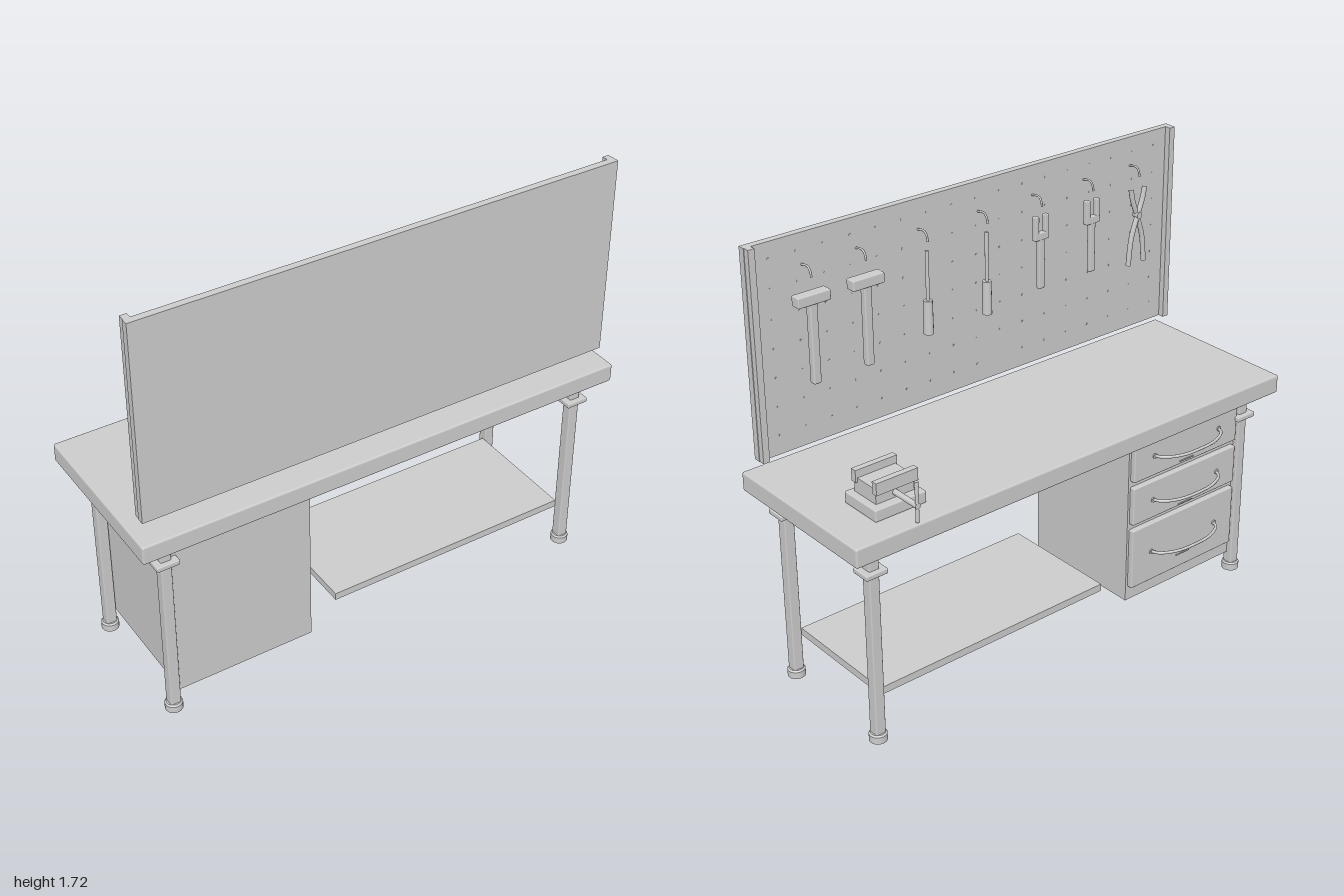
import * as THREE from 'three';
import { mergeGeometries } from 'three/addons/utils/BufferGeometryUtils.js';
import { RoundedBoxGeometry } from 'three/addons/geometries/RoundedBoxGeometry.js';

const grey = new THREE.MeshStandardMaterial({ color: 0xcccccc });

export function createModel() {
  const model = new THREE.Group();
  model.name = 'workbench';

  function add(name, geometry, x = 0, y = 0, z = 0, parent = model) {
    const mesh = new THREE.Mesh(geometry, grey);
    mesh.name = name;
    mesh.position.set(x, y, z);
    parent.add(mesh);
    return mesh;
  }
  // Box given by its limits on each axis, optionally with softened edges
  function box(name, [x0, x1], [y0, y1], [z0, z1], parent = model, bevel = 0) {
    const size = [x1 - x0, y1 - y0, z1 - z0];
    const geometry = bevel ? new RoundedBoxGeometry(...size, 2, bevel) : new THREE.BoxGeometry(...size);
    return add(name, geometry, (x0 + x1) / 2, (y0 + y1) / 2, (z0 + z1) / 2, parent);
  }
  function tube(name, points, radius, parent = model) {
    const curve = new THREE.CatmullRomCurve3(points.map(p => new THREE.Vector3(...p)));
    return add(name, new THREE.TubeGeometry(curve, 24, radius, 8), 0, 0, 0, parent);
  }
  function group(name, x = 0, y = 0, z = 0) {
    const g = new THREE.Group();
    g.name = name;
    g.position.set(x, y, z);
    model.add(g);
    return g;
  }

  // Table top, long rails and lower shelf
  box('tableTop', [-1, 1], [0.79, 0.865], [-0.338, 0.348], model, 0.008);
  box('rearRail', [-0.905, 0.905], [0.73, 0.79], [0.245, 0.27]);
  box('frontRail', [-0.905, 0.905], [0.73, 0.79], [-0.25, -0.235]);
  box('shelf', [-0.18, 0.86], [0.17, 0.2], [-0.24, 0.25]);

  // Legs with collars and feet
  for (const x of [-0.885, 0.885]) {
    for (const z of [-0.25, 0.262]) {
      const leg = group('leg', x, 0, z);
      box('post', [-0.021, 0.021], [0.02, 0.79], [-0.021, 0.021], leg, 0.005);
      box('collar', [-0.045, 0.045], [0.69, 0.71], [-0.04, 0.04], leg, 0.004);
      add('foot', new THREE.CylinderGeometry(0.034, 0.034, 0.028, 16), 0, 0.014, 0, leg);
      add('footShoulder', new THREE.CylinderGeometry(0.028, 0.034, 0.006, 16), 0, 0.031, 0, leg);
    }
  }

  // Drawer cabinet: front height limits and handle height for each drawer
  const cx = -0.58;
  box('cabinet', [-0.86, -0.3], [0.08, 0.77], [-0.25, 0.269]);
  for (const [y0, y1, hy] of [[0.14, 0.395, 0.27], [0.42, 0.58, 0.5], [0.605, 0.765, 0.69]]) {
    const drawer = group('drawer', cx, 0, 0);
    box('drawerFront', [-0.27, 0.27], [y0, y1], [-0.272, -0.245], drawer, 0.005);
    box('drawerLip', [-0.035, 0.035], [hy - 0.073, hy - 0.069], [-0.276, -0.27], drawer);
    tube('drawerHandle', [[-0.17, hy, -0.268], [-0.155, hy, -0.3], [-0.09, hy, -0.334], [0, hy, -0.343],
      [0.09, hy, -0.334], [0.155, hy, -0.3], [0.17, hy, -0.268]], 0.006, drawer);
    for (const s of [-1, 1]) {
      const mount = add('handleMount', new THREE.CylinderGeometry(0.01, 0.01, 0.006, 12), s * 0.17, hy, -0.274, drawer);
      mount.rotation.x = Math.PI / 2;
    }
  }

  // Pegboard with side strips and rows of peg holes
  box('pegboard', [-0.97, 0.97], [0.925, 1.72], [0.272, 0.3]);
  for (const s of [-1, 1]) {
    box('boardStrip', [s * 0.955 - 0.013, s * 0.955 + 0.013], [0.925, 1.72], [0.248, 0.272]);
  }
  const dots = [];
  for (let i = -8; i <= 8; i++) {
    for (let j = 0; j < 7; j++) {
      dots.push(new THREE.CylinderGeometry(0.004, 0.004, 0.002, 8)
        .rotateX(Math.PI / 2).translate(i * 0.11, 1.0 + j * 0.11, 0.2715));
    }
  }
  add('pegHoles', mergeGeometries(dots));

  // Hanging tools, each below its own hook
  function hungTool(name, x) {
    const tool = group(name, x, 0, 0.223);
    tube('hook', [[0, 1.605, 0.05], [0, 1.61, 0.025], [0, 1.608, 0.008], [0, 1.595, -0.003], [0, 1.575, -0.008]], 0.004, tool);
    return tool;
  }
  for (const x of [0.75, 0.525]) {
    const hammer = hungTool('hammer', x);
    box('hammerHead', [-0.067, 0.067], [1.48, 1.52], [-0.021, 0.021], hammer, 0.005);
    box('hammerHandle', [-0.016, 0.016], [1.18, 1.49], [-0.014, 0.014], hammer, 0.006);
  }
  for (const x of [0.26, -0.01]) {
    const driver = hungTool('screwdriver', x);
    add('driverShaft', new THREE.CylinderGeometry(0.007, 0.007, 0.2, 10), 0, 1.44, 0, driver);
    add('driverGrip', new THREE.CylinderGeometry(0.017, 0.019, 0.13, 12), 0, 1.285, 0, driver);
  }
  for (const [x, w, low] of [[-0.267, 0.034, 1.25], [-0.52, 0.034, 1.25]]) {
    const wrench = hungTool('wrench', x);
    box('wrenchHandle', [-0.013, 0.013], [low, 1.46], [-0.01, 0.01], wrench, 0.004);
    box('wrenchHead', [-w, w], [1.445, 1.475], [-0.011, 0.011], wrench, 0.004);
    for (const s of [-1, 1]) {
      box('wrenchJaw', [s * 0.024 - 0.01, s * 0.024 + 0.01], [1.46, 1.54], [-0.011, 0.011], wrench, 0.004);
    }
  }
  const pliers = hungTool('pliers', -0.757);
  for (const s of [-1, 1]) {
    tube('plierArm', [[s * 0.033, 1.53, s * 0.003], [s * 0.022, 1.48, s * 0.003], [0, 1.42, s * 0.003],
      [-s * 0.03, 1.33, s * 0.003], [-s * 0.043, 1.22, s * 0.003]], 0.01, pliers);
  }
  const pivot = add('plierPivot', new THREE.CylinderGeometry(0.013, 0.013, 0.03, 12), 0, 1.42, 0, pliers);
  pivot.rotation.x = Math.PI / 2;

  // Bench vise with screw and turning bar
  const vise = group('vise', 0.742, 0, 0);
  box('viseBase', [-0.107, 0.107], [0.865, 0.912], [-0.24, -0.062], vise, 0.006);
  box('viseBody', [-0.08, 0.08], [0.91, 0.97], [-0.207, -0.085], vise);
  for (const z of [-0.21, -0.092]) {
    box('viseJaw', [-0.087, 0.087], [0.953, 1.0], [z - 0.012, z + 0.012], vise);
  }
  const screw = add('viseScrew', new THREE.CylinderGeometry(0.011, 0.011, 0.135, 12), 0, 0.932, -0.267, vise);
  screw.rotation.x = Math.PI / 2;
  add('viseBar', new THREE.CylinderGeometry(0.007, 0.007, 0.155, 10), 0, 0.947, -0.329, vise);

  return model;
}
